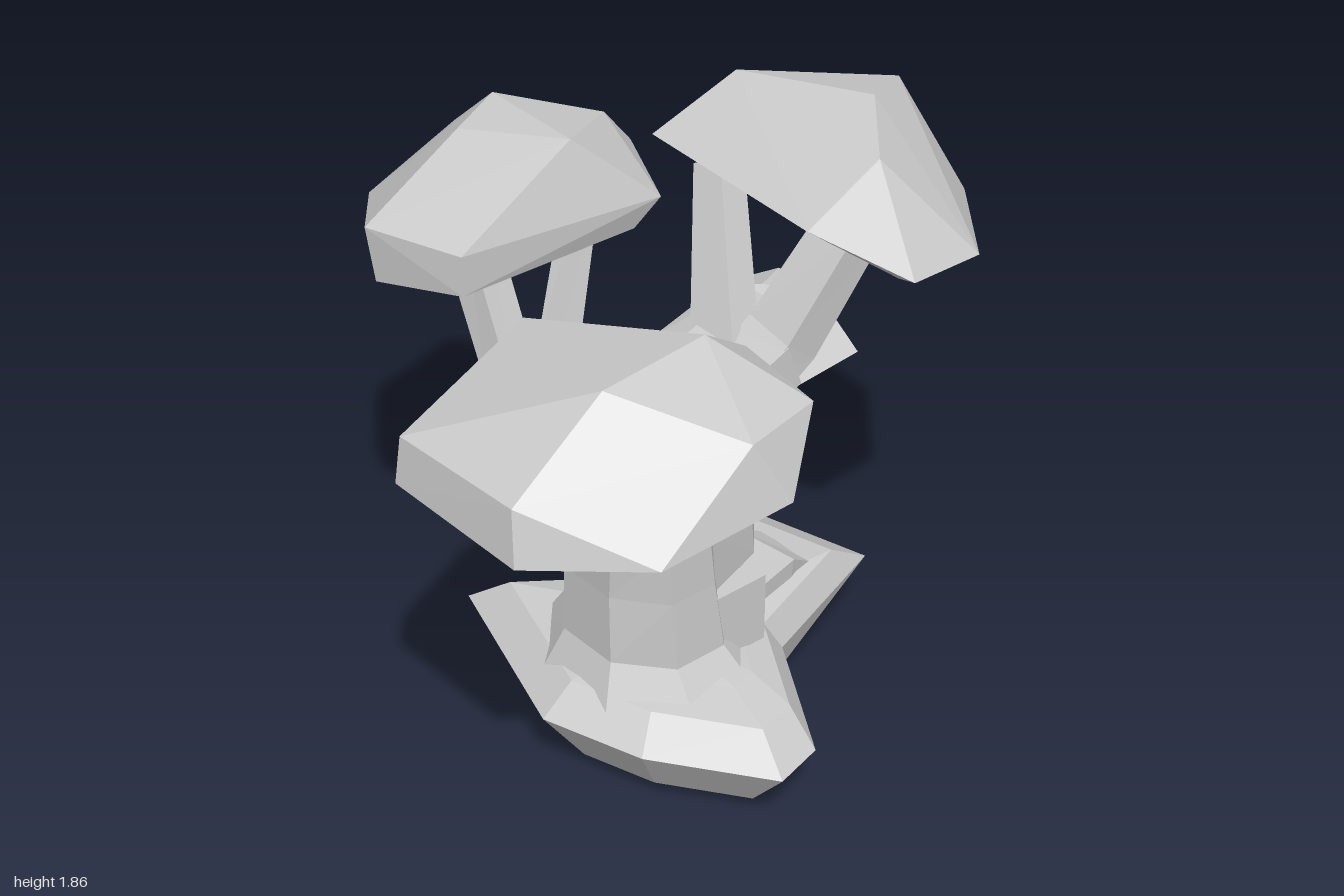
import * as THREE from 'three';
import { ConvexGeometry } from 'three/addons/geometries/ConvexGeometry.js';

const mat = new THREE.MeshStandardMaterial({ color: 0xcccccc, flatShading: true });
const V = (p) => new THREE.Vector3(...p);

// Skin between rings of points (counter-clockwise about the rising axis), closed at both ends
function loft(rings, startPoint, endPoint) {
  const pos = [];
  const tri = (a, b, c) => pos.push(...a.toArray(), ...b.toArray(), ...c.toArray());
  const mid = (r) => r.reduce((s, p) => s.add(p), new THREE.Vector3()).divideScalar(r.length);
  const first = rings[0], last = rings[rings.length - 1], n = first.length;
  const start = startPoint ? V(startPoint) : mid(first);
  const end = endPoint ? V(endPoint) : mid(last);
  for (let i = 0; i < n; i++) {
    const j = (i + 1) % n;
    tri(start, first[j], first[i]);
    tri(end, last[i], last[j]);
    for (let k = 0; k + 1 < rings.length; k++) {
      const a = rings[k], b = rings[k + 1];
      tri(a[i], a[j], b[j]);
      tri(a[i], b[j], b[i]);
    }
  }
  const g = new THREE.BufferGeometry();
  g.setAttribute('position', new THREE.Float32BufferAttribute(pos, 3));
  g.computeVertexNormals();
  return g;
}

// Faceted limb through [x, y, z, radius, optional second radius] stations
function limb(stations, sides = 4) {
  const pts = stations.map((s) => V(s.slice(0, 3)));
  const rings = pts.map((p, k) => {
    const dir = pts[Math.min(k + 1, pts.length - 1)].clone().sub(pts[Math.max(k - 1, 0)]).normalize();
    const u = new THREE.Vector3(1, 0, 0).addScaledVector(dir, -dir.x).normalize();
    const v = dir.clone().cross(u);
    const [ru, rv = ru] = stations[k].slice(3);
    return Array.from({ length: sides }, (_, i) => {
      const a = ((i + 0.5) / sides) * Math.PI * 2;
      return p.clone().addScaledVector(u, Math.cos(a) * ru).addScaledVector(v, Math.sin(a) * rv);
    });
  });
  return loft(rings);
}

export function createModel() {
  const group = new THREE.Group();
  const add = (name, geometry) => {
    const m = new THREE.Mesh(geometry, mat);
    m.name = name;
    group.add(m);
    return m;
  };

  // Spreading root base: one rim outline, scaled into stacked rings
  const rim = [[0.05, 0.43], [0.36, 0.33], [0.68, 0.1], [0.64, -0.06], [0.24, -0.3],
    [0.07, -0.79], [-0.3, -0.69], [-0.32, -0.45], [-0.29, -0.1], [-0.54, 0.24]];
  const ring = (scale, y) => rim.map(([x, z], i) =>
    new THREE.Vector3(0.1 + (x - 0.1) * scale, y(i), -0.05 + (z + 0.05) * scale));
  add('rootBase', loft([
    ring(0.72, (i) => (i > 4 ? 0.11 : 0.05)),
    ring(1, () => 0.24),
    ring(0.8, () => 0.335),
    ring(0.52, () => 0.36),
  ], [0.19, 0, 0.04], [0.08, 0.4, 0.03]));
  add('backRoot', limb([[0.08, 0.34, 0, 0.26, 0.1], [0.03, 0.34, -0.2, 0.2, 0.1], [0, 0.34, -0.43, 0.16, 0.1], [-0.02, 0.29, -0.52, 0.14, 0.08]]));

  // Trunk: [x, y, z, half width, half depth]
  const trunk = [[0.06, 0.3, 0.05, 0.34, 0.28], [0.06, 0.43, 0.07, 0.25, 0.21],
    [0.06, 0.65, 0.09, 0.24, 0.19], [0.1, 0.85, 0.11, 0.2, 0.18],
    [0.125, 1.03, 0.13, 0.16, 0.18], [0.125, 1.175, 0.15, 0.16, 0.16]];
  add('trunk', loft(trunk.map(([x, y, z, w, d]) => Array.from({ length: 8 }, (_, i) => {
    const a = ((i + 0.5) / 8) * Math.PI * 2;
    return new THREE.Vector3(x + Math.cos(a) * w * 1.06, y, z - Math.sin(a) * d * 1.06);
  }))));
  const knot = add('trunkKnot', new THREE.BoxGeometry(0.22, 0.22, 0.23));
  knot.position.set(0.17, 0.465, -0.075);

  // Front arm: out of the trunk top, then up into the canopy
  add('frontBranch', limb([[0.125, 0.97, 0.1, 0.18, 0.16], [0.2, 1.07, 0.27, 0.17, 0.13], [0.37, 1.19, 0.41, 0.16, 0.13], [0.52, 1.42, 0.5, 0.2, 0.17]]));
  // Back arm: wide flat stretch that forks into two uprights
  add('backBranch', limb([[0.125, 1.1, 0.16, 0.21, 0.1], [0.125, 1.11, 0, 0.21, 0.1], [0.125, 1.22, -0.29, 0.2, 0.1]]));
  add('backUpright', limb([[0.17, 1.17, -0.2, 0.12, 0.09], [0.18, 1.26, -0.32, 0.12, 0.09], [0.24, 1.58, -0.52, 0.1, 0.08]]));
  add('backTwig', limb([[0.06, 1.2, -0.22, 0.11, 0.08], [-0.2, 1.6, -0.42, 0.07, 0.07]]));
  // Side arm and its companion twig
  add('sideBranch', limb([[0, 0.6, 0.1, 0.15], [-0.2, 0.87, 0.12, 0.12], [-0.36, 1.12, 0.2, 0.08], [-0.48, 1.5, 0.23, 0.08]], 5));
  add('sideTwig', limb([[-0.15, 0.82, 0.09, 0.07], [-0.38, 1.1, 0.01, 0.06], [-0.49, 1.48, -0.17, 0.05]]));
  // Low arm towards the back
  add('lowBranch', limb([[0.16, 0.67, 0.02, 0.14], [0.1, 0.67, -0.17, 0.14], [-0.14, 0.71, -0.42, 0.09], [-0.26, 0.75, -0.52, 0.05], [-0.38, 0.94, -0.6, 0.035]]));
  add('lowTwig', limb([[-0.12, 0.73, -0.38, 0.06], [-0.17, 0.83, -0.5, 0.04], [-0.14, 1.02, -0.6, 0.03]]));

  // Large faceted canopies
  const canopies = {
    frontCanopy: [[0, 1.44, 0.58], [0.1, 1.61, 0.5], [0.55, 1.6, 0.15], [0.55, 1.45, 0.17],
      [0.82, 1.58, 0.17], [0.6, 1.73, 0.33], [0.62, 1.72, 0.67], [0.89, 1.6, 0.43], [0.94, 1.42, 0.34],
      [0.93, 1.4, 0.75], [0.69, 1.39, 1], [0.66, 1.54, 0.98], [0.22, 1.52, 0.98],
      [0.22, 1.39, 1], [0.08, 1.36, 0.85], [0.63, 1.3, 0.83]],
    sideCanopy: [[-0.94, 1.55, -0.07], [-0.95, 1.45, 0], [-0.92, 1.44, 0.25], [-0.64, 1.72, 0.14],
      [-0.35, 1.75, -0.02], [-0.73, 1.73, -0.05], [-0.65, 1.5, -0.38], [-0.53, 1.55, -0.38],
      [-0.5, 1.69, -0.26], [-0.28, 1.51, -0.28], [-0.25, 1.6, 0.43], [-0.25, 1.48, 0.43],
      [-0.54, 1.6, 0.53], [-0.53, 1.43, 0.51], [-0.63, 1.41, 0.3], [-0.3, 1.43, -0.2], [-0.6, 1.42, -0.3]],
    backCanopy: [[-0.13, 1.47, -1], [0.18, 1.47, -1], [0.02, 1.8, -0.88], [0.14, 1.86, -0.67],
      [-0.28, 1.81, -0.55], [0.34, 1.81, -0.5], [0.53, 1.53, -0.7], [0.56, 1.56, -0.43],
      [0.36, 1.7, -0.23], [-0.33, 1.68, -0.29], [-0.43, 1.62, -0.62], [0.48, 1.53, -0.45],
      [-0.18, 1.55, -0.45], [-0.28, 1.5, -0.8]],
  };
  for (const [name, pts] of Object.entries(canopies)) add(name, new ConvexGeometry(pts.map(V)));

  // Small drooping canopy with a hollow underside
  add('lowCanopy', loft([
    [[-0.53, 0.86, -0.46], [-0.2, 0.98, -0.5], [-0.01, 0.89, -0.42], [0.01, 0.94, -0.78], [-0.32, 0.94, -0.79], [-0.49, 0.8, -0.56]].map(V),
    [[-0.39, 1.05, -0.6], [-0.27, 1.11, -0.59], [-0.13, 1.1, -0.6], [-0.11, 1.1, -0.73], [-0.29, 1.1, -0.74], [-0.38, 1.05, -0.68]].map(V),
  ], [-0.23, 1.0, -0.62], [-0.23, 1.12, -0.62]));

  return group;
}
